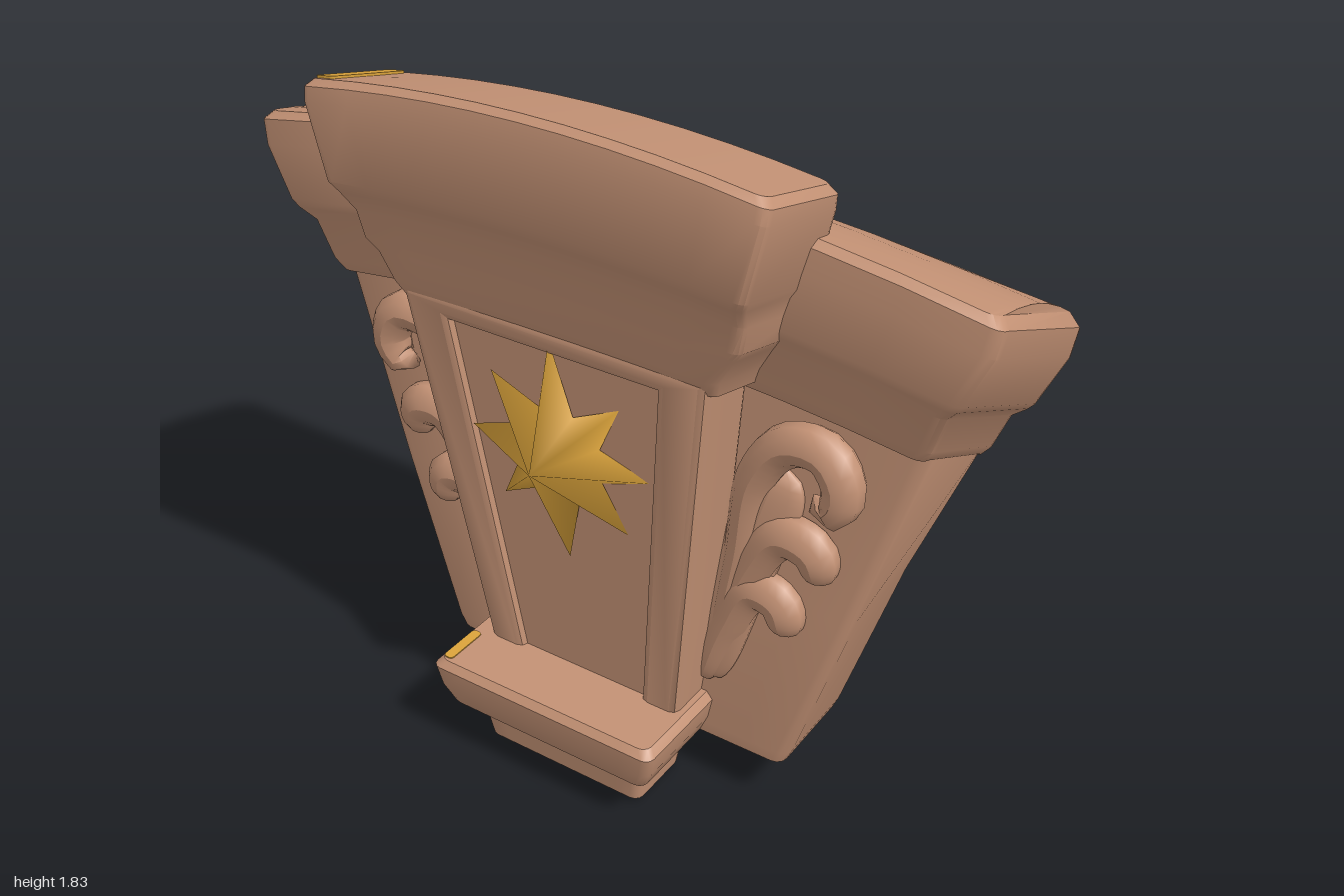
import * as THREE from 'three';
import { toCreasedNormals } from 'three/addons/utils/BufferGeometryUtils.js';

const SHEAR = 0.035; // slight twist: the +x side sits further forward

// Rounded rectangle in x/z, counter-clockwise seen from above
function ring(cx, hw, zb, zf, r) {
  const pts = [];
  const corner = (x, z, a0) => {
    for (let i = 0; i <= 3; i++) {
      const a = a0 + (i / 3) * Math.PI / 2;
      pts.push([x + Math.cos(a) * r, z - Math.sin(a) * r]);
    }
  };
  const edge = (z, dir) => {
    for (let i = 1; i < 10; i++) pts.push([cx + dir * (hw - r) * (i / 5 - 1), z]);
  };
  corner(cx - hw + r, zf - r, Math.PI);
  edge(zf, 1);
  corner(cx + hw - r, zf - r, Math.PI * 1.5);
  corner(cx + hw - r, zb + r, 0);
  edge(zb, -1);
  corner(cx - hw + r, zb + r, Math.PI / 2);
  return pts;
}

// Stacked sections [y, halfWidth, zBack, zFront, tilt, crown], closed at both ends.
// bulge rounds the tilted top from front to back and straightens the rear edge.
function loft(sections, cx, r, bulge = 0) {
  const squeeze = ([y, hw, zb, zf, t, c], f) => {
    const m = (zb + zf) / 2, h = (zf - zb) / 2 * f;
    return [y, hw, m - h, m + h, t, c, zb, zf];
  };
  const last = sections[sections.length - 1];
  const all = [squeeze(sections[0], 0), ...sections, ...[0.7, 0.35, 0].map((f) => squeeze(last, f))];
  const pos = [], index = [];
  let n = 0;
  all.forEach(([y, hw, zb, zf, tilt = 0, crown = 0, z0 = zb, z1 = zf]) => {
    const pts = ring(cx, hw, zb, zf, Math.min(r, (zf - zb) / 2));
    n = pts.length;
    for (const [x, z] of pts) {
      const u = (z1 - z) / (z1 - z0);
      const drop = crown * (bulge ? THREE.MathUtils.lerp(x * x, hw * hw, u ** 3) : x * x);
      pos.push(x, y + tilt * z - drop + bulge * 4 * u * (1 - u), z + SHEAR * x);
    }
  });
  for (let s = 0; s < all.length - 1; s++) {
    for (let i = 0; i < n; i++) {
      const a = s * n + i, b = s * n + (i + 1) % n;
      index.push(a, b, b + n, a, b + n, a + n);
    }
  }
  const g = new THREE.BufferGeometry();
  g.setAttribute('position', new THREE.Float32BufferAttribute(pos, 3));
  g.setIndex(index);
  return toCreasedNormals(g, 0.6);
}

// Tapering tube, flattened in z, used for the carved leaves
function leaf(points, radius, side, depth = 0.9) {
  const curve = new THREE.CatmullRomCurve3(
    points.map(([x, y, z]) => new THREE.Vector3(side * x - 0.01, y, z + SHEAR * side * x)));
  const seg = 36, rad = 10;
  const g = new THREE.TubeGeometry(curve, seg, radius, rad);
  const p = g.attributes.position, v = new THREE.Vector3();
  for (let i = 0; i <= seg; i++) {
    const u = i / seg, c = curve.getPointAt(u);
    const f = Math.sqrt(Math.max(0, 1 - Math.pow(2 * u - 1, 6))) * (0.55 + 0.45 * u);
    for (let j = 0; j <= rad; j++) {
      const k = i * (rad + 1) + j;
      v.fromBufferAttribute(p, k).sub(c).multiplyScalar(f);
      v.z *= depth;
      v.add(c);
      p.setXYZ(k, v.x, v.y, v.z);
    }
  }
  g.computeVertexNormals();
  return g;
}

// Trapezoid outline for the shaft and its sunken panel
function trapezoid(path, y0, w0, y1, w1) {
  const cx = -0.015;
  path.moveTo(cx - w0, y0);
  path.lineTo(cx + w0, y0);
  path.lineTo(cx + w1, y1);
  path.lineTo(cx - w1, y1);
  path.closePath();
  return path;
}

const lean = (y) => 0.155 + 0.115 * (y - 0.3); // front face of the shaft

// Extrude a shape back from the leaning shaft face
function leaningSlab(shape, depth, inset, bevel) {
  const g = new THREE.ExtrudeGeometry(shape, {
    depth, bevelEnabled: bevel > 0, bevelSize: bevel, bevelThickness: bevel, bevelSegments: 2,
  });
  const p = g.attributes.position;
  for (let i = 0; i < p.count; i++) {
    p.setZ(i, p.getZ(i) - depth - bevel - inset + lean(p.getY(i)) + SHEAR * p.getX(i));
  }
  return toCreasedNormals(g, 0.5);
}

// Eight-pointed star with soft ridges
function starGeometry() {
  const cx = -0.02, cy = 0.97, pos = [cx, cy, 0.34], index = [];
  for (let i = 0; i < 16; i++) {
    const a = i * Math.PI / 8;
    const r = i % 2 ? 0.125 : i % 8 === 4 ? 0.31 : 0.25;
    const y = cy + Math.sin(a) * r;
    pos.push(cx + Math.cos(a) * r, y, lean(y) - 0.015);
    index.push(0, i + 1, (i + 1) % 16 + 1);
  }
  const g = new THREE.BufferGeometry();
  g.setAttribute('position', new THREE.Float32BufferAttribute(pos, 3));
  g.setIndex(index);
  g.computeVertexNormals();
  return g;
}

export function createModel() {
  const model = new THREE.Group();
  const stone = new THREE.MeshStandardMaterial({ name: 'terracotta stone', color: 0xc49275 });
  const gold = new THREE.MeshStandardMaterial({ name: 'gold', color: 0xdca43b, side: THREE.DoubleSide });
  const add = (name, geometry, material = stone, parent = model) => {
    const m = new THREE.Mesh(geometry, material);
    m.name = name;
    parent.add(m);
  };

  // Wedge-shaped block behind
  add('wedgeBlock', loft([
    [0.14, 0.49, -0.255, 0.005],
    [0.155, 0.51, -0.275, 0.025],
    [0.19, 0.525, -0.28, 0.03],
    [0.65, 0.675, -0.285, 0.03],
    [1.22, 0.83, -0.29, 0.03, 0.45, 0.09],
  ], 0, 0.03, 0.001));

  // Stepped cornice of the block, sloping back
  add('blockCornice', loft([
    [1.19, 0.825, -0.295, 0.06, 0.45, 0.09],
    [1.22, 0.845, -0.305, 0.078, 0.45, 0.09],
    [1.32, 0.88, -0.315, 0.095, 0.45, 0.09],
    [1.35, 0.91, -0.325, 0.125, 0.45, 0.09],
    [1.37, 0.925, -0.33, 0.133, 0.45, 0.09],
    [1.52, 0.985, -0.345, 0.138, 0.43, 0.1],
    [1.59, 0.995, -0.355, 0.133, 0.41, 0.1],
    [1.615, 0.975, -0.335, 0.113, 0.4, 0.1],
  ], 0, 0.03, 0.03));

  // Keystone shaft with its framed, sunken panel
  const frame = trapezoid(new THREE.Shape(), 0.2, 0.255, 1.29, 0.4);
  frame.holes.push(trapezoid(new THREE.Path(), 0.245, 0.2, 1.265, 0.31));
  add('shaftFrame', leaningSlab(frame, 0.15, 0, 0.022));
  add('shaftPanel', leaningSlab(trapezoid(new THREE.Shape(), 0.2, 0.25, 1.3, 0.4), 0.12, 0.021, 0));

  // Crown of the keystone
  add('keystoneCrown', loft([
    [1.22, 0.43, 0, 0.255, 0.24, 0.05],
    [1.26, 0.445, 0, 0.28, 0.24, 0.05],
    [1.33, 0.485, 0, 0.285, 0.24, 0.06],
    [1.36, 0.51, 0, 0.3, 0.24, 0.06],
    [1.43, 0.525, 0, 0.308, 0.24, 0.07],
    [1.48, 0.54, 0.03, 0.345, 0.24, 0.08],
    [1.51, 0.555, 0.04, 0.362, 0.24, 0.1],
    [1.7, 0.6, 0.05, 0.368, 0.24, 0.12],
    [1.74, 0.602, 0.05, 0.362, 0.24, 0.13],
    [1.758, 0.585, 0.065, 0.345, 0.24, 0.13],
  ], -0.015, 0.025));

  // Gilded strips on one end of the crown and of the foot
  add('crownGilding', loft([
    [1.757, 0.026, 0.08, 0.33, 0.24, 0.13],
    [1.764, 0.026, 0.08, 0.33, 0.24, 0.13],
  ], -0.572, 0.01), gold);
  add('footGilding', loft([
    [0.286, 0.014, 0.17, 0.3],
    [0.293, 0.014, 0.17, 0.3],
  ], -0.334, 0.01), gold);

  // Foot with a projecting lip
  add('foot', loft([
    [0.01, 0.22, 0.03, 0.2],
    [0.025, 0.237, 0.015, 0.218],
    [0.12, 0.25, 0, 0.235],
    [0.14, 0.285, 0, 0.275],
    [0.155, 0.3, 0, 0.295],
    [0.21, 0.325, 0, 0.315],
    [0.27, 0.337, 0, 0.325],
    [0.29, 0.32, 0, 0.31],
  ], -0.03, 0.025));

  add('star', starGeometry(), gold);

  // Carved leaf scrolls, mirrored on either side of the shaft
  for (const side of [1, -1]) {
    const scroll = new THREE.Group();
    scroll.name = side > 0 ? 'leftScroll' : 'rightScroll';
    model.add(scroll);
    add('volute', leaf([[0.32, 0.4, 0.03], [0.39, 0.75, 0.04], [0.43, 0.98, 0.05], [0.51, 1.09, 0.055],
      [0.61, 1.1, 0.06], [0.655, 1.02, 0.06], [0.62, 0.955, 0.06], [0.58, 0.99, 0.06]], 0.062, side), stone, scroll);
    add('upperLeaf', leaf([[0.33, 0.45, 0.03], [0.42, 0.72, 0.04], [0.5, 0.84, 0.045], [0.58, 0.83, 0.045],
      [0.6, 0.74, 0.035]], 0.068, side, 0.75), stone, scroll);
    add('lowerLeaf', leaf([[0.29, 0.33, 0.03], [0.36, 0.53, 0.035], [0.43, 0.66, 0.04], [0.5, 0.65, 0.04],
      [0.52, 0.56, 0.035]], 0.066, side, 0.75), stone, scroll);
    add('leafBody', leaf([[0.31, 0.34, 0.03], [0.37, 0.6, 0.035], [0.43, 0.82, 0.035], [0.49, 1.02, 0.035]],
      0.1, side, 0.4), stone, scroll);
  }
  return model;
}
